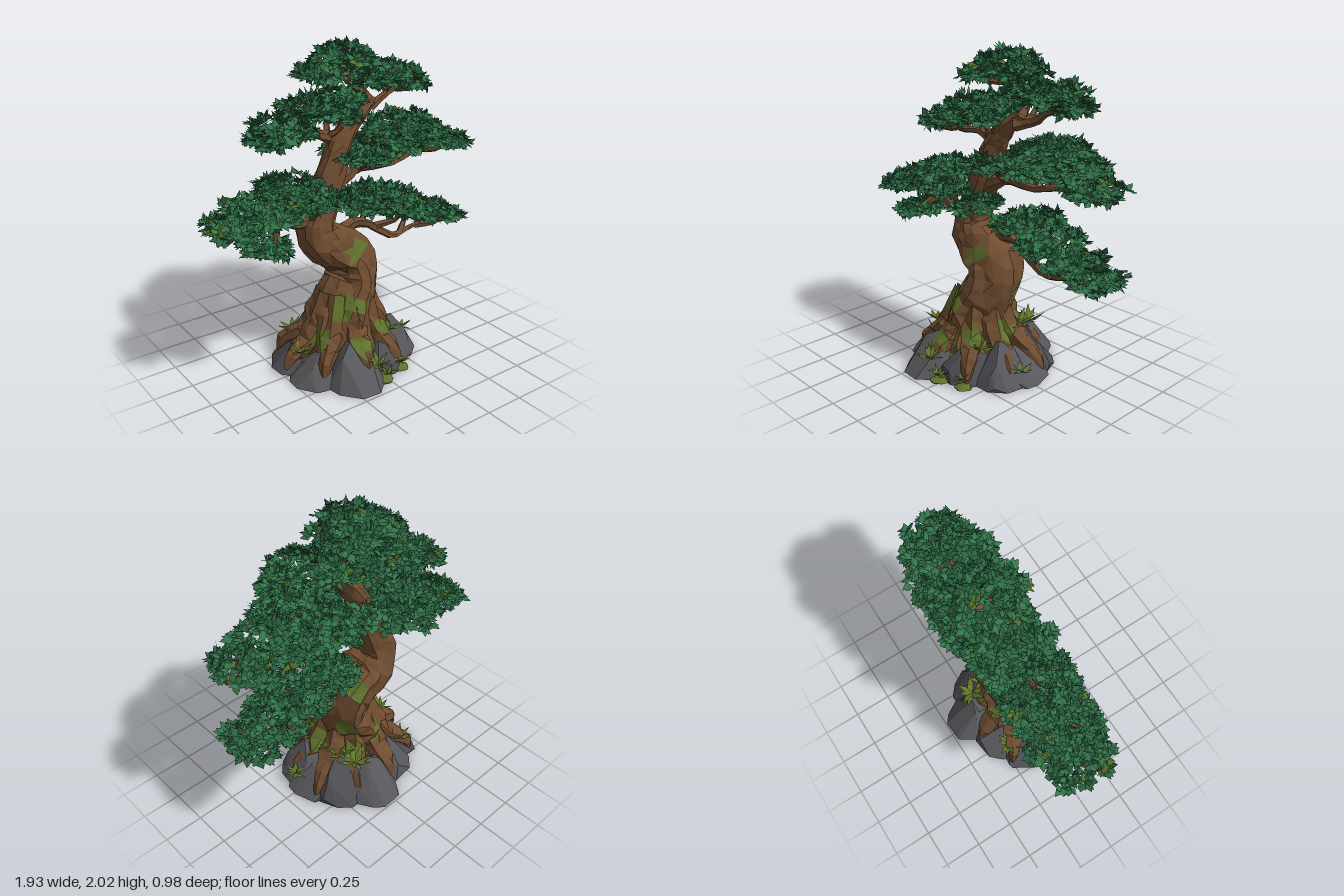
import * as THREE from 'three';
import { ConvexGeometry } from 'three/addons/geometries/ConvexGeometry.js';

const V = (x, y, z) => new THREE.Vector3(x, y, z);
const { lerp, smoothstep, degToRad } = THREE.MathUtils;

function mat(name, color, side = THREE.FrontSide) {
  const m = new THREE.MeshStandardMaterial({ color, side, flatShading: true });
  m.name = name;
  return m;
}

// Seeded random numbers
let seed = 7;
const rnd = () => {
  seed = (seed * 1664525 + 1013904223) % 4294967296;
  return seed / 4294967296;
};
const jit = (a) => (rnd() * 2 - 1) * a;
const randDir = () => {
  const y = jit(1), a = rnd() * Math.PI * 2, r = Math.sqrt(1 - y * y);
  return V(r * Math.cos(a), y, r * Math.sin(a));
};

// Mesh from a plain list of triangle corners
function triMesh(name, corners, material) {
  const g = new THREE.BufferGeometry().setFromPoints(corners);
  g.computeVertexNormals();
  const m = new THREE.Mesh(g, material);
  m.name = name;
  return m;
}

// Gnarled limb: rough rings along a curve, with radius(u) and a depth factor along ref
function limb(curve, radius, steps, sides, ref, rough, depth = 1) {
  const rings = [];
  for (let i = 0; i <= steps; i++) {
    const u = i / steps, p = curve.getPoint(u), t = curve.getTangent(u);
    const b = ref.clone().addScaledVector(t, -ref.dot(t)).normalize();
    const n = b.clone().cross(t);
    rings.push(Array.from({ length: sides }, (_, j) => {
      const a = (j / sides) * Math.PI * 2;
      const r = radius(u) * (1 + rough * Math.sin(4 * a + u * 9) + jit(rough));
      return p.clone().addScaledVector(n, Math.cos(a) * r).addScaledVector(b, Math.sin(a) * r * depth);
    }));
  }
  const out = [], end = curve.getPoint(1);
  for (let j = 0; j < sides; j++) {
    const q = (j + 1) % sides;
    for (let i = 0; i < steps; i++) {
      const A = rings[i][j], B = rings[i][q], C = rings[i + 1][q], D = rings[i + 1][j];
      if ((i + j) % 2) out.push(A, B, C, A, C, D);
      else out.push(A, B, D, B, C, D);
    }
    out.push(rings[steps][j], rings[steps][q], end);
  }
  return out;
}

// Pointed leaf, creased along its middle
function leaf(out, base, dir, up, len, width) {
  const side = dir.clone().cross(up).normalize().multiplyScalar(width / 2);
  const tip = base.clone().addScaledVector(dir, len);
  const mid = base.clone().addScaledVector(dir, len * 0.45).addScaledVector(up, -width * 0.12);
  out.push(base, mid.clone().add(side), tip, base, tip, mid.clone().sub(side));
}

export function createModel() {
  seed = 7;
  const bark = mat('bark', 0x6e4c30);
  const moss = mat('moss', 0x5e702b);
  const stone = mat('stone', 0x58585c);
  const darkStone = mat('dark stone', 0x4e4e53);
  const grass = mat('grass', 0x61762c, THREE.DoubleSide);
  const greens = [
    mat('leaf green', 0x33744a, THREE.DoubleSide),
    mat('deep leaf green', 0x2b6340, THREE.DoubleSide),
    mat('young leaf green', 0x58752c, THREE.DoubleSide),
  ];
  const tree = new THREE.Group();
  tree.name = 'bonsaiTree';
  const zAxis = V(0, 0, 1);

  // Wood is split into bark and mossy patches
  const mossSpots = [V(-0.02, 0.75, 0.09), V(-0.18, 0.43, 0.17), V(-0.1, 0.47, 0.2), V(-0.28, 0.22, 0.1), V(0.08, 0.27, 0.2),
    V(-0.12, 0.2, 0.27), V(0.05, 0.76, -0.18), V(0.12, 0.46, -0.16), V(-0.1, 0.34, -0.2), V(0.1, 0.28, -0.2), V(0.17, 0.27, 0.02)];
  function wood(name, tris) {
    const parts = [[], []];
    for (let i = 0; i < tris.length; i += 3) {
      const c = tris[i].clone().add(tris[i + 1]).add(tris[i + 2]).divideScalar(3);
      parts[mossSpots.some((s) => c.distanceTo(s) < 0.068) ? 1 : 0].push(...tris.slice(i, i + 3));
    }
    tree.add(triMesh(name, parts[0], bark));
    if (parts[1].length) tree.add(triMesh(name + 'Moss', parts[1], moss));
  }

  // Trunk, an S-bend leaning back as it rises: [x, y, radius]
  const trunk = [[-0.08, 0.05, 0.25], [-0.1, 0.24, 0.2], [-0.05, 0.4, 0.18], [0.03, 0.54, 0.155], [0.01, 0.68, 0.155],
    [-0.15, 0.79, 0.145], [-0.21, 0.9, 0.11], [-0.17, 1.03, 0.095], [-0.06, 1.29, 0.08], [-0.01, 1.41, 0.07],
    [0.07, 1.51, 0.055], [0.21, 1.62, 0.03]];
  const trunkCurve = new THREE.CatmullRomCurve3(trunk.map(([x, y]) => V(x, y, -0.08 * smoothstep(y, 0.3, 0.9))));
  const trunkRadius = (u) => {
    const f = u * (trunk.length - 1), k = Math.min(Math.floor(f), trunk.length - 2);
    return lerp(trunk[k][2], trunk[k + 1][2], f - k);
  };
  wood('trunk', limb(trunkCurve, trunkRadius, 30, 16, zAxis, 0.085, 1.12));

  // Roots spreading evenly and gripping the rocks
  for (let i = 0; i < 9; i++) {
    const a = degToRad(20 + i * 40), c = Math.cos(a), s = Math.sin(a) * 0.88;
    const reach = 0.37 + jit(0.03), endY = 0.09 + jit(0.04);
    const at = (r, y) => V(-0.06 + c * r, y, s * r);
    const curve = new THREE.CatmullRomCurve3([at(0.1, 0.48), at(0.17, 0.31), at(0.25, 0.2), at(reach, endY + 0.03), at(reach + 0.05, endY - 0.06)]);
    wood('root', limb(curve, (u) => 0.012 + 0.07 * Math.sin(Math.PI * (0.32 + 0.68 * u)), 9, 7, V(-s, 0, c), 0.15));
  }

  // One flat-bottomed dome of leaf tufts, sorted by green
  function dome(buckets, c, rx, ry, rz) {
    const count = Math.round(2300 * rx * rz + 20);
    for (let i = 0; i < count; i++) {
      const d = randDir(), r = 0.72 + 0.25 * rnd();
      const p = V(d.x * rx, d.y * (d.y > 0 ? ry : ry * 0.5), d.z * rz).multiplyScalar(r).add(c);
      const up = V(d.x * 0.5, d.y > -0.3 ? 0.9 : -0.6, d.z * 0.5).addScaledVector(randDir(), 0.4).normalize();
      const k = rnd();
      for (let j = 0; j < 5; j++) {
        const dir = randDir().addScaledVector(d, 0.35);
        dir.addScaledVector(up, 0.22 - dir.dot(up) * 0.75).normalize();
        leaf(buckets[k < 0.6 ? 0 : k < 0.98 ? 1 : 2], p, dir, up, 0.048 + rnd() * 0.022, 0.042);
      }
    }
  }

  // Branch along [x, y] points, carrying leaf domes [x, y, rx, ry, forward shift] on twigs
  function bough(name, z, thick, path, domes) {
    const curve = new THREE.CatmullRomCurve3(path.map(([x, y], i) => V(x, y, i ? z + jit(0.015) : -0.07)));
    wood(name + 'Branch', limb(curve, (u) => lerp(thick, 0.012, Math.sqrt(u)), path.length * 2, 6, zAxis, 0.12));
    const samples = curve.getPoints(30).slice(5);
    const buckets = [[], [], []];
    domes.forEach(([x, y, rx, ry, forward = 0], i) => {
      const c = V(x, y, z + forward), rz = 0.13 + 0.58 * rx;
      dome(buckets, c, rx, ry, rz);
      const aim = c.clone().lerp(samples[0], 0.3);
      const from = samples.reduce((a, b) => (b.distanceTo(aim) < a.distanceTo(aim) ? b : a));
      const side = i % 2 ? 1 : -1;
      const to = c.clone().add(V(0, 0, side * rz * 0.4));
      const bend = from.clone().lerp(to, 0.5).add(V(jit(0.02), -0.015, side * 0.02));
      wood(name + 'Twig', limb(new THREE.CatmullRomCurve3([from, bend, to]), (u) => lerp(0.025, 0.008, u), 4, 5, V(0.3, 0.2, 1), 0.1));
    });
    buckets.forEach((b, i) => b.length && tree.add(triMesh(name + 'Foliage', b, greens[i])));
  }

  bough('crown', -0.13, 0.045, [[0.2, 1.6], [0.18, 1.67], [0.09, 1.72], [0.02, 1.87]],
    [[0.04, 1.88, 0.17, 0.09], [-0.14, 1.81, 0.11, 0.04], [0.17, 1.84, 0.1, 0.05]]);
  bough('upperRight', -0.13, 0.05, [[0.16, 1.57], [0.28, 1.59], [0.38, 1.65], [0.54, 1.67]],
    [[0.39, 1.74, 0.18, 0.08], [0.52, 1.69, 0.1, 0.04], [0.2, 1.74, 0.11, 0.04]]);
  bough('upperLeft', -0.11, 0.055, [[0, 1.38], [-0.1, 1.44], [-0.2, 1.46], [-0.33, 1.45], [-0.48, 1.48]],
    [[-0.2, 1.62, 0.18, 0.06], [-0.04, 1.57, 0.12, 0.04], [-0.4, 1.53, 0.18, 0.06], [-0.51, 1.48, 0.09, 0.03], [0, 1.66, 0.11, 0.05]]);
  bough('middleRight', -0.07, 0.065, [[-0.14, 1.11], [0, 1.18], [0.1, 1.22], [0.34, 1.21], [0.55, 1.26], [0.7, 1.23], [0.9, 1.25]],
    [[0.44, 1.43, 0.23, 0.08], [0.11, 1.32, 0.22, 0.05], [0.6, 1.36, 0.19, 0.07], [0.79, 1.29, 0.14, 0.05], [0.35, 1.33, 0.18, 0.05]]);
  bough('middleLeft', -0.04, 0.065, [[-0.16, 1], [-0.33, 0.96], [-0.46, 1], [-0.6, 0.98], [-0.85, 1.03]],
    [[-0.4, 1.18, 0.2, 0.08], [-0.6, 1.1, 0.22, 0.07], [-0.8, 1.04, 0.13, 0.05], [-0.28, 1.11, 0.17, 0.07],
      [-0.02, 1.06, 0.1, 0.04, 0.12], [-0.61, 0.91, 0.12, 0.03, 0.06]]);
  bough('lowerRight', -0.09, 0.075, [[-0.1, 0.72], [0, 0.82], [0.1, 0.85], [0.2, 0.82], [0.4, 0.69], [0.5, 0.7], [0.76, 0.75]],
    [[0.3, 0.99, 0.18, 0.06], [0.45, 0.9, 0.19, 0.06], [0.64, 0.83, 0.14, 0.06], [0.8, 0.77, 0.12, 0.04], [0.14, 0.96, 0.08, 0.03]]);

  // Chiselled boulder cut flat on the ground, its top leaning inwards
  function rock(name, x, z, r, top, material) {
    const pts = [];
    for (let k = 0; k < 22; k++) {
      const d = randDir(), h = Math.max(0, d.y), w = r * (1 - 0.25 * h) * (0.88 + jit(0.14)), lean = 1 - 0.2 * h;
      pts.push(V(x * lean + d.x * w, top * Math.max(0, 0.15 + 0.85 * d.y), z * lean + d.z * w));
    }
    // Peak and wide foot
    pts.push(V(x * 0.8 + jit(r * 0.3), top, z * 0.8 + jit(r * 0.3)));
    for (let k = 0; k < 9; k++) {
      const a = (k / 9) * Math.PI * 2 + jit(0.2), w = r * (0.98 + jit(0.08));
      pts.push(V(x + Math.cos(a) * w, 0, z + Math.sin(a) * w));
    }
    const m = new THREE.Mesh(new ConvexGeometry(pts), material);
    m.name = name;
    tree.add(m);
  }
  // Ring of boulders around a low middle one: [angle, reach, top]
  rock('rock', -0.04, 0, 0.34, 0.18, stone);
  [[20, 0.3, 0.26], [65, 0.22, 0.28], [115, 0.33, 0.26], [157, 0.32, 0.18], [200, 0.31, 0.19], [240, 0.26, 0.25],
    [285, 0.33, 0.27], [320, 0.3, 0.27], [355, 0.31, 0.2]].forEach(([deg, reach, top], i) => {
    const a = degToRad(deg);
    rock('rock', -0.05 + Math.cos(a) * reach, Math.sin(a) * reach, 0.185, top, i % 3 === 1 ? darkStone : stone);
  });
  // Moss mounds in the gaps at the front
  rock('mossMound', -0.03, 0.37, 0.07, 0.05, moss);
  rock('mossMound', 0.14, 0.33, 0.06, 0.05, moss);
  rock('mossMound', -0.06, 0.26, 0.09, 0.2, moss);

  // Grass clumps among the rocks, longer higher up: [angle, reach, y]
  for (const [deg, reach, y] of [[170, 0.38, 0.17], [325, 0.24, 0.26], [305, 0.3, 0.24], [95, 0.4, 0.13],
    [85, 0.4, 0.04], [45, 0.28, 0.2], [8, 0.42, 0.09], [222, 0.34, 0.17], [140, 0.28, 0.16], [62, 0.39, 0.05]]) {
    const a = degToRad(deg), len = 0.075 + 0.3 * y, blades = [];
    const root = V(-0.05 + Math.cos(a) * reach, y, Math.sin(a) * reach);
    for (let k = 0; k < 10; k++) {
      const b = (k / 10) * Math.PI * 2 + jit(0.3);
      const dir = V(Math.cos(b), 0.15 + rnd() * 0.9, Math.sin(b)).normalize();
      leaf(blades, root, dir, V(0, 1, 0), len * (0.6 + rnd() * 0.4), len * 0.25);
    }
    tree.add(triMesh('grassClump', blades, grass));
  }
  return tree;
}
